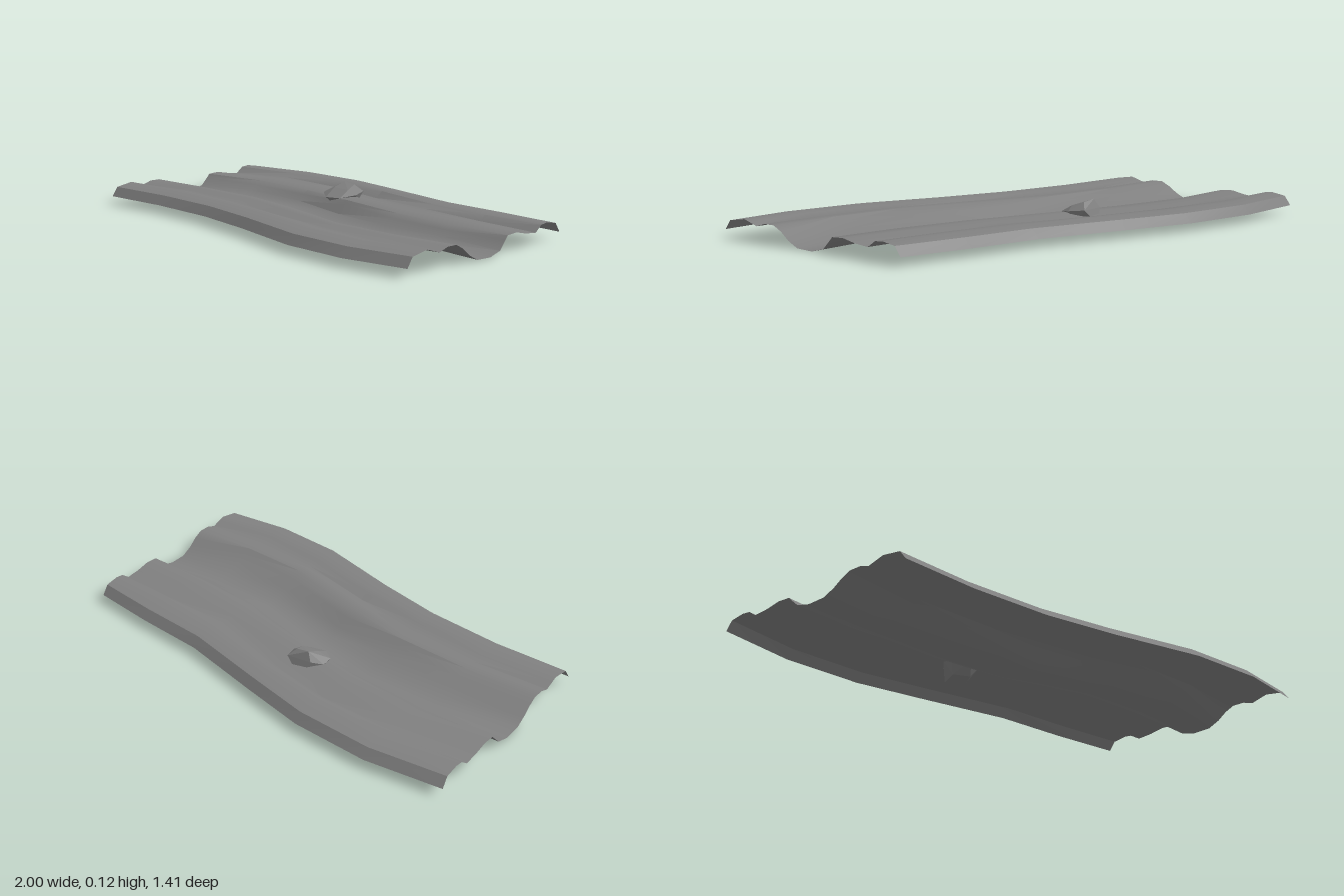
import * as THREE from 'three';
import { toCreasedNormals } from 'three/addons/utils/BufferGeometryUtils.js';
import { ConvexGeometry } from 'three/addons/geometries/ConvexGeometry.js';

// Stations along the track: x, back edge z, front edge z, rut floor height, shoulder dip scale
const STATIONS = [
  [-1, -0.7, 0.27, 0.006, 1],
  [-0.66, -0.705, 0.31, 0.018, 0.45],
  [-0.31, -0.645, 0.385, 0.012, 0.7],
  [0, -0.54, 0.49, 0.0, 1],
  [0.38, -0.405, 0.64, 0.012, 0.4],
  [0.7, -0.34, 0.705, 0.014, 0.8],
  [1, -0.265, 0.705, 0.002, 1],
];

// Cross-section from back to front: position across the width, height, kind
const PROFILE = [
  [0, 0.035], [0.03, 0.074], [0.09, 0.084], [0.14, 0.08], [0.18, 0.054, 'dip'],
  [0.24, 0.06, 'dip'], [0.3, 0.073], [0.365, 0.07], [0.39, 0.054], [0.425, 0.018, 'rut'],
  [0.48, 0, 'rut'], [0.56, 0.003, 'rut'], [0.62, 0.03, 'rut'], [0.67, 0.06],
  [0.71, 0.08], [0.755, 0.08], [0.8, 0.066, 'dip'], [0.85, 0.078], [0.89, 0.087],
  [0.97, 0.074], [1, 0.035],
];

function trackGeometry() {
  const pos = [], index = [], n = PROFILE.length;
  STATIONS.forEach(([x, back, front, floor, dip], i) => {
    PROFILE.forEach(([u, h, kind], j) => {
      let y = h;
      if (kind === 'rut') y = floor + h * 0.9;
      if (kind === 'dip') y = 0.075 - (0.075 - h) * dip;
      // gentle wander of the inner lines, edges kept straight
      const inner = j > 1 && j < n - 2;
      const wander = inner ? 0.008 * Math.sin(i * 2.1 + j * 1.3) : 0;
      pos.push(x, y, back + (front - back) * u + wander);
      if (i < STATIONS.length - 1 && j < n - 1) {
        const a = i * n + j, c = a + n;
        index.push(a, a + 1, c, a + 1, c + 1, c);
      }
    });
  });
  const g = new THREE.BufferGeometry();
  g.setAttribute('position', new THREE.Float32BufferAttribute(pos, 3));
  g.setIndex(index);
  return toCreasedNormals(g, 0.5);
}

function rockGeometry() {
  const points = [
    // top facet
    [-0.12, 0.125, -0.29], [-0.06, 0.117, -0.285], [-0.13, 0.105, -0.235], [-0.05, 0.1, -0.23],
    // waist
    [-0.14, 0.088, -0.305], [-0.03, 0.088, -0.31], [-0.012, 0.08, -0.24],
    [-0.05, 0.07, -0.175], [-0.12, 0.07, -0.165], [-0.18, 0.08, -0.22], [-0.18, 0.075, -0.27],
    // base
    [-0.1, 0.02, -0.33], [-0.04, 0.022, -0.26], [-0.08, 0.02, -0.205], [-0.14, 0.022, -0.25],
  ];
  return new ConvexGeometry(points.map((p) => new THREE.Vector3(...p)));
}

export function createModel() {
  const group = new THREE.Group();
  group.name = 'ruttedTrack';
  const stone = new THREE.MeshStandardMaterial({ color: 0x808080, side: THREE.DoubleSide });
  stone.name = 'stoneGrey';

  // Rutted ground strip
  const track = new THREE.Mesh(trackGeometry(), stone);
  track.name = 'trackSurface';

  // Half-buried boulder
  const rock = new THREE.Mesh(rockGeometry(), stone);
  rock.name = 'rock';

  group.add(track, rock);
  return group;
}
